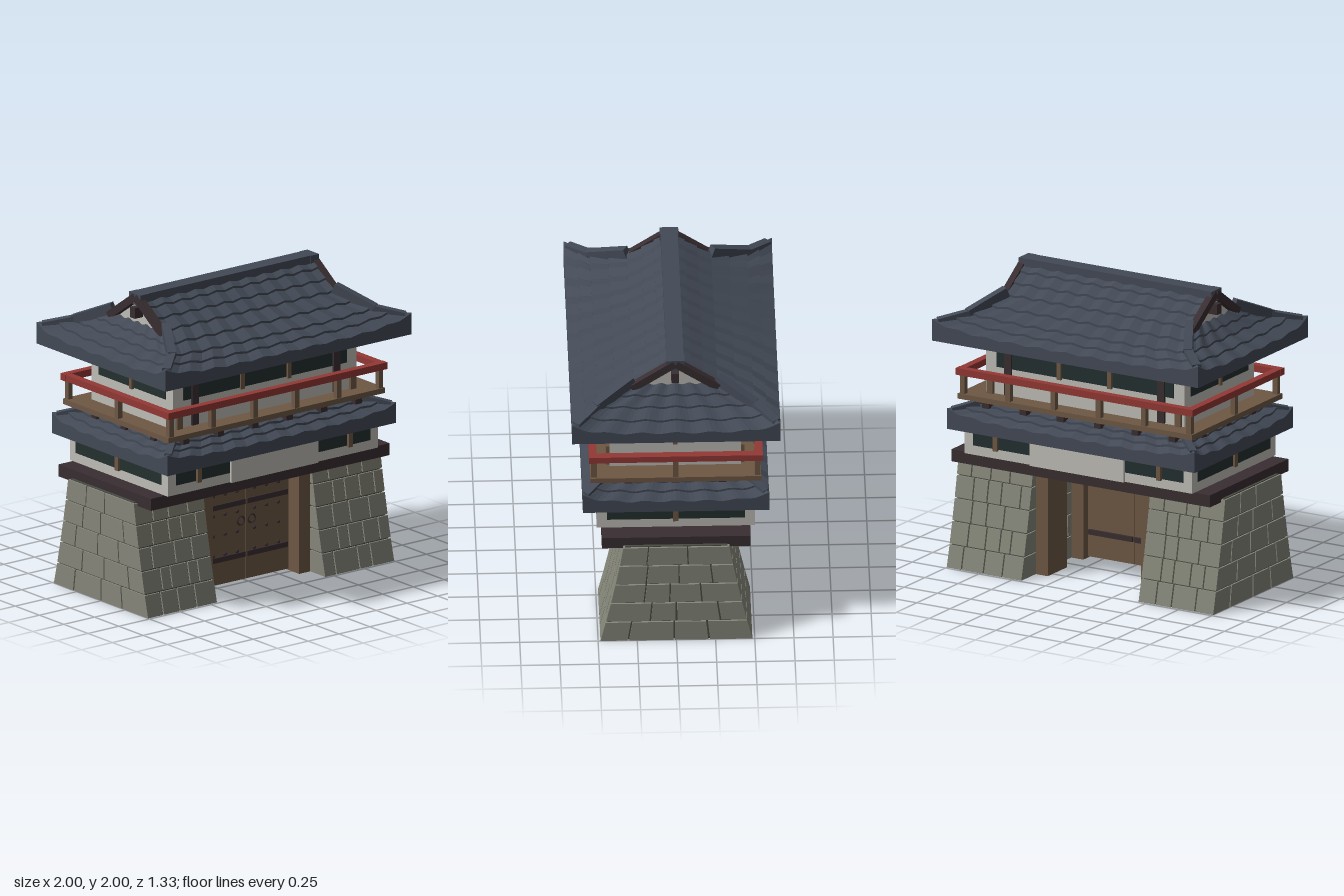
import * as THREE from 'three';

const mat = (name, color) => Object.assign(new THREE.MeshStandardMaterial({ color }), { name });
const M = {
  stone: mat('stone', 0x86877a), mortar: mat('mortar', 0x4a4b43), wood: mat('wood', 0x6e5844),
  dark: mat('dark timber', 0x392e31), plaster: mat('plaster', 0xc0beb7), glass: mat('dark window', 0x24302f),
  tile: mat('slate tile', 0x434a56), red: mat('red lacquer', 0x933835),
};

function add(parent, name, geo, material) {
  const m = new THREE.Mesh(geo, material);
  m.name = name;
  parent.add(m);
  return m;
}
// Box given by its minimum and maximum on each axis
function box(parent, name, material, x0, x1, y0, y1, z0, z1) {
  const g = new THREE.BoxGeometry(x1 - x0, y1 - y0, z1 - z0);
  g.translate((x0 + x1) / 2, (y0 + y1) / 2, (z0 + z1) / 2);
  return add(parent, name, g, material);
}
const post = (parent, name, material, x, z, w, y0, y1) =>
  box(parent, name, material, x - w / 2, x + w / 2, y0, y1, z - w / 2, z + w / 2);
// Square beam running from p to q
function beam(parent, name, material, p, q, w, h) {
  const a = new THREE.Vector3(...p), b = new THREE.Vector3(...q);
  const m = add(parent, name, new THREE.BoxGeometry(w, h, a.distanceTo(b) + 0.015), material);
  m.position.copy(a).lerp(b, 0.5);
  m.lookAt(b);
}
let seed = 7;
const rnd = () => (seed = (seed * 16807) % 2147483647) / 2147483647;

// Battered stone pier: the depth shrinks with height, blocks sit on a mortar core
const depth = y => 0.485 - 0.245 * y + 0.06 * y * y;
function mapped(u0, u1, y0, y1, w0, w1, fn) {
  const g = new THREE.BoxGeometry(1, 1, 1).toNonIndexed(), p = g.attributes.position;
  for (let i = 0; i < p.count; i++) {
    const u = p.getX(i) > 0 ? u1 : u0, y = p.getY(i) > 0 ? y1 : y0, w = p.getZ(i) > 0 ? w1 : w0;
    p.setXYZ(i, ...fn(u, y, w));
  }
  g.computeVertexNormals();
  return g;
}
function pier() {
  const g = new THREE.Group();
  g.name = 'stonePier';
  const rows = [0, 0.147, 0.294, 0.441, 0.588, 0.733], gap = 0.005, cx = 0.72, hx = 0.28;
  for (let r = 0; r < 5; r++) {
    const y0 = rows[r], y1 = rows[r + 1];
    add(g, 'mortarCore', mapped(-1, 1, y0, y1, -1, 1,
      (u, y, w) => [cx + u * (hx - 0.012), y, w * (depth(y) - 0.012)]), M.mortar);
    for (let side = 0; side < 4; side++) {
      const n = side % 2 ? (r === 4 ? 3 : 4) : 4 + (r % 2);
      const cuts = [-1];
      for (let i = 1; i < n; i++) cuts.push(-1 + (2 * (i + (r % 2 ? 0.18 : -0.15) + (rnd() - 0.5) * 0.4)) / n);
      cuts.push(1);
      for (let i = 0; i < n; i++) {
        const e = gap / (side % 2 ? 0.42 : hx), s = side < 2 ? 1 : -1;
        const a = cuts[i] + (i ? e : 0), b = cuts[i + 1] - (i < n - 1 ? e : 0);
        const fn = side % 2
          ? (u, y, w) => [cx + s * (hx - w), y, -s * u * depth(y)]
          : (u, y, w) => [cx + s * u * hx, y, s * (depth(y) - w)];
        add(g, 'stoneBlock', mapped(a, b, y0 + (r ? gap : 0), y1 - gap, 0.02, 0, fn), M.stone);
      }
    }
  }
  return g;
}

// Tiled roof from rectangular rings [halfX, halfZ, y, cornerLift]; each course ends in a small wavy step
function tiledRoof(rings, sides, bottom) {
  const v = [], N = 40;
  const point = (ring, side, t, step) => {
    const [hx, hz, y, lift] = ring, odd = side % 2;
    const a = (odd ? hz : hx) * t, o = odd ? hx : hz;
    const wave = step === null ? 0 : 0.007 * Math.cos(Math.PI * (odd ? 6 : 10) * t);
    const p = [a, step === null ? bottom : y + step + wave + lift * Math.abs(t) ** 5, o];
    for (let i = 0; i < side; i++) [p[0], p[2]] = [p[2], -p[0]];
    return p;
  };
  const strip = (side, lo, ls, hi, hs) => {
    for (let i = 0; i < N; i++) {
      const t = -1 + (2 * i) / N, t2 = t + 2 / N;
      const a = point(lo, side, t, ls), b = point(lo, side, t2, ls);
      const c = point(hi, side, t2, hs), d = point(hi, side, t, hs);
      v.push(...a, ...b, ...c, ...a, ...c, ...d);
    }
  };
  for (const s of sides) {
    if (bottom !== undefined) strip(s, rings[0], null, rings[0], 0);
    for (let i = 0; i < rings.length - 1; i++) {
      strip(s, rings[i], 0, rings[i], 0.014);
      strip(s, rings[i], 0.014, rings[i + 1], 0);
    }
  }
  const g = new THREE.BufferGeometry();
  g.setAttribute('position', new THREE.Float32BufferAttribute(v, 3));
  g.computeVertexNormals();
  return g;
}
function soffit(parent, hx, hz, y) {
  add(parent, 'roofUnderside', new THREE.PlaneGeometry(hx * 2, hz * 2).rotateX(Math.PI / 2).translate(0, y, 0), M.tile);
}

export function createModel() {
  const root = new THREE.Group();
  root.name = 'gatehouse';
  const S = [-1, 1];

  // Stone piers
  const right = pier(), left = pier();
  left.rotation.y = Math.PI;
  root.add(right, left);

  // Gate: posts, doors, iron bands, studs and ring handles
  const gate = new THREE.Group();
  gate.name = 'gate';
  root.add(gate);
  for (const s of S) {
    const xs = s > 0 ? [0.35, 0.445] : [-0.445, -0.35];
    box(gate, 'frontGatePost', M.wood, ...xs, 0, 0.71, 0.12, 0.33);
    box(gate, 'backGatePost', M.wood, ...xs, 0, 0.71, -0.31, -0.08);
    const leaf = s > 0 ? [0.002, 0.352] : [-0.352, -0.002];
    box(gate, 'doorLeaf', M.wood, ...leaf, 0.01, 0.71, 0.175, 0.22);
    const band = s > 0 ? [0.008, 0.338] : [-0.338, -0.008];
    for (const y of [0.16, 0.512]) {
      box(gate, 'doorBand', M.dark, ...band, y, y + 0.034, 0.22, 0.23);
      box(gate, 'doorBackBar', M.dark, ...band, y, y + 0.034, 0.16, 0.175);
    }
    for (const y of [0.208, 0.342, 0.475, 0.61]) for (const x of [0.07, 0.168, 0.265])
      add(gate, 'doorStud', new THREE.SphereGeometry(0.013, 8, 6), M.dark).position.set(s * x, y, 0.222);
    add(gate, 'ringHandle', new THREE.TorusGeometry(0.028, 0.006, 6, 16), M.dark).position.set(s * 0.044, 0.408, 0.228);
  }
  box(root, 'lintelPlatform', M.dark, -0.97, 0.97, 0.71, 0.79, -0.475, 0.475);

  // Lower storey with window strips
  const lower = new THREE.Group();
  lower.name = 'lowerStorey';
  root.add(lower);
  box(lower, 'lowerWall', M.plaster, -0.855, 0.855, 0.79, 0.98, -0.505, 0.505);
  for (const s of S) {
    const zs = s > 0 ? [0.5, 0.508] : [-0.508, -0.5], xs = s > 0 ? [0.85, 0.858] : [-0.858, -0.85];
    box(lower, 'centrePanel', M.plaster, -0.352, 0.352, 0.79, 0.957, s > 0 ? 0.5 : -0.525, s > 0 ? 0.525 : -0.5);
    for (const t of S) {
      box(lower, 'lowerWindow', M.glass, t > 0 ? 0.352 : -0.79, t > 0 ? 0.79 : -0.352, 0.853, 0.95, ...zs);
      post(lower, 'lowerMullion', M.wood, t * 0.613, s * 0.513, 0.032, 0.845, 0.965);
    }
    box(lower, 'lowerSideWindow', M.glass, ...xs, 0.853, 0.95, -0.44, 0.44);
    post(lower, 'lowerSideMullion', M.wood, s * 0.857, 0, 0.036, 0.845, 0.965);
  }

  // Lower skirt roof
  const skirt = [[0.93, 0.595, 1.03, 0.05], [0.865, 0.53, 1.07, 0.03], [0.8, 0.47, 1.1, 0.01], [0.72, 0.4, 1.135, 0]];
  add(root, 'skirtRoof', tiledRoof(skirt, [0, 1, 2, 3], 0.963), M.tile);
  soffit(root, 0.93, 0.595, 0.963);

  // Upper storey
  const upper = new THREE.Group();
  upper.name = 'upperStorey';
  root.add(upper);
  box(upper, 'upperWall', M.plaster, -0.745, 0.745, 1.05, 1.58, -0.42, 0.42);
  for (const s of S) {
    const zs = s > 0 ? [0.415, 0.424] : [-0.424, -0.415], xs = s > 0 ? [0.74, 0.749] : [-0.749, -0.74];
    box(upper, 'upperWindow', M.glass, -0.665, 0.665, 1.375, 1.56, ...zs);
    box(upper, 'upperSideWindow', M.glass, ...xs, 1.38, 1.56, -0.345, 0.345);
    post(upper, 'upperSideMullion', M.wood, s * 0.747, 0, 0.03, 1.37, 1.57);
    for (const t of S) {
      post(upper, 'upperMullion', M.wood, t * 0.19, s * 0.422, 0.03, 1.365, 1.57);
      post(upper, 'windowPost', M.dark, t * 0.575, s * 0.41, 0.052, 1.2, 1.57);
      post(upper, 'wallPost', M.wood, t * 0.705, s * 0.42, 0.045, 1.12, 1.335);
    }
  }

  // Balcony: floor, brackets, posts and red handrail
  const balcony = new THREE.Group();
  balcony.name = 'balcony';
  root.add(balcony);
  box(balcony, 'balconyFloor', M.wood, -0.88, 0.88, 1.16, 1.195, -0.545, 0.545);
  for (const s of S) {
    for (const x of [-0.7, -0.42, -0.14, 0.14, 0.42, 0.7])
      box(balcony, 'bracket', M.dark, x - 0.025, x + 0.025, 1.11, 1.16, s > 0 ? 0.4 : -0.5, s > 0 ? 0.5 : -0.4);
    for (const z of [-0.3, 0, 0.3])
      box(balcony, 'sideBracket', M.dark, s > 0 ? 0.72 : -0.82, s > 0 ? 0.82 : -0.72, 1.11, 1.16, z - 0.025, z + 0.025);
    for (const x of [-0.85, -0.51, -0.17, 0.17, 0.51, 0.85])
      post(balcony, 'railPost', M.wood, x, s * 0.522, 0.036, 1.19, 1.33);
    post(balcony, 'sideRailPost', M.wood, s * 0.857, 0, 0.036, 1.19, 1.33);
    box(balcony, 'handrail', M.red, -0.89, 0.89, 1.32, 1.365, s * 0.53 - 0.025, s * 0.53 + 0.025);
    box(balcony, 'sideHandrail', M.red, s * 0.862 - 0.025, s * 0.862 + 0.025, 1.321, 1.364, -0.55, 0.55);
  }

  // Main hip-and-gable roof
  const hips = [[1, 0.665, 1.62, 0.06], [0.91, 0.58, 1.66, 0.045], [0.82, 0.5, 1.7, 0.02], [0.76, 0.385, 1.75, 0.005], [0.7, 0.27, 1.805, 0]];
  const gables = [[0.7, 0.27, 1.805, 0], [0.7, 0.18, 1.86, 0], [0.7, 0.1, 1.915, 0], [0.7, 0, 1.975, 0]];
  add(root, 'mainRoof', tiledRoof(hips, [0, 1, 2, 3], 1.558), M.tile);
  add(root, 'gableRoof', tiledRoof(gables, [0, 2]), M.tile);
  soffit(root, 1, 0.665, 1.558);
  box(root, 'ridge', M.tile, -0.715, 0.715, 1.945, 2, -0.055, 0.055);

  const tri = new THREE.Shape([[-0.27, 1.77], [0.27, 1.77], [0, 1.965]].map(p => new THREE.Vector2(...p)));
  for (const s of S) {
    // Gable wall, bargeboards and pendant
    const wall = add(root, 'gableWall', new THREE.ExtrudeGeometry(tri, { depth: 0.02, bevelEnabled: false }), M.plaster);
    wall.rotation.y = s * Math.PI / 2;
    wall.position.x = s * 0.66;
    box(root, 'gablePendant', M.dark, s * 0.71 - 0.035, s * 0.71 + 0.03, 1.84, 1.91, -0.025, 0.025);
    box(root, 'ridgeEnd', M.tile, s * 0.69 - 0.035, s * 0.69 + 0.035, 1.925, 2, -0.06, 0.06);
    for (const t of S) {
      beam(root, 'bargeboard', M.dark, [s * 0.707, 1.79, t * 0.27], [s * 0.707, 1.97, t * 0.01], 0.045, 0.05);
      // Hip ridges of both roofs
      beam(root, 'hipRidge', M.tile, [s * 0.82, 1.725, t * 0.5], [s * 0.69, 1.832, t * 0.275], 0.055, 0.065);
      beam(root, 'hipRidgeEnd', M.tile, [s * 0.965, 1.682, t * 0.632], [s * 0.82, 1.725, t * 0.5], 0.055, 0.05);
      beam(root, 'skirtHipRidge', M.tile, [s * 0.9, 1.085, t * 0.566], [s * 0.76, 1.13, t * 0.44], 0.045, 0.045);
    }
  }
  return root;
}
